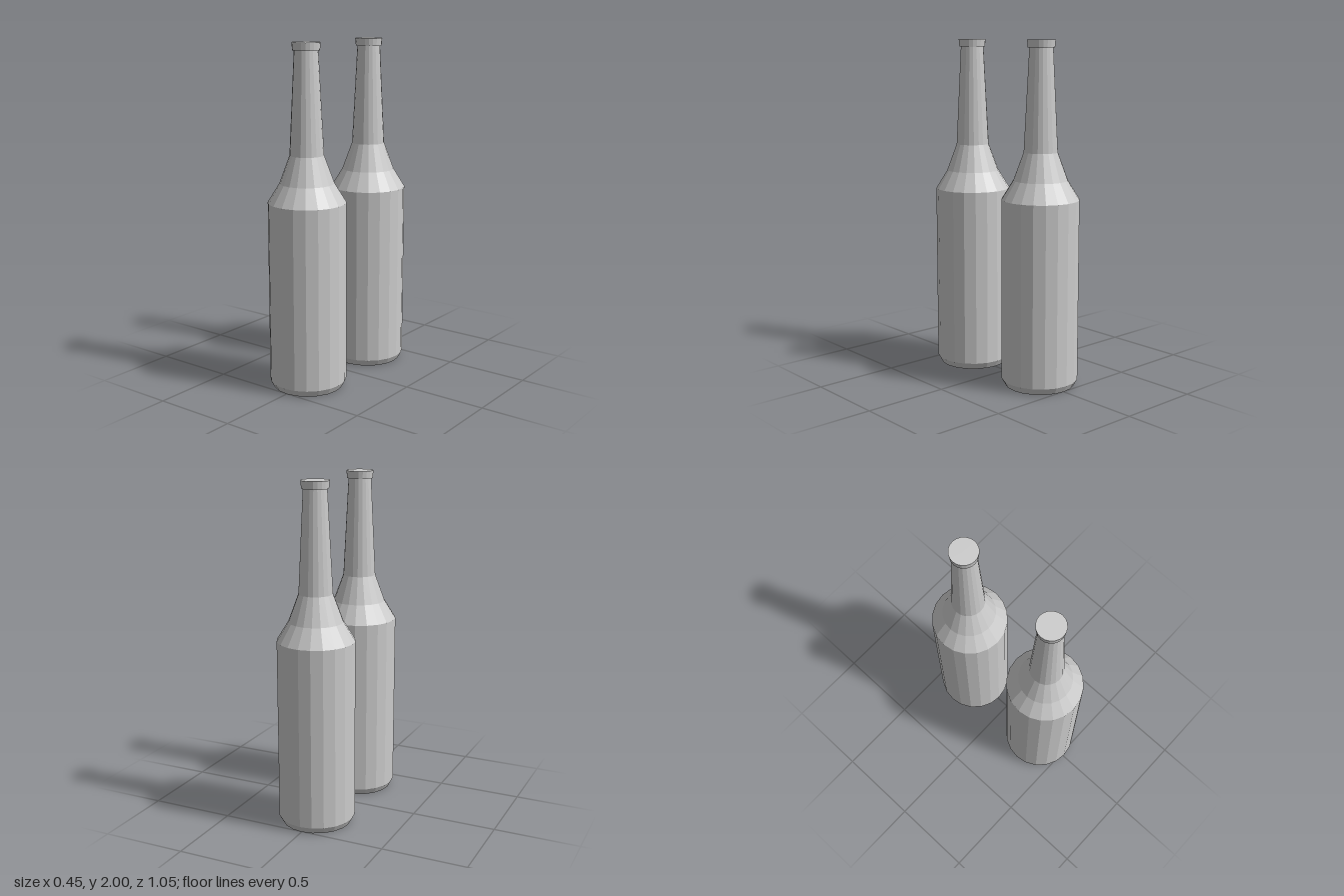
import * as THREE from 'three';

const SIDES = 20;
const material = new THREE.MeshStandardMaterial({ color: 0xcccccc, flatShading: true });

// Turns a [radius, height] profile, listed from bottom to top, into a faceted solid
function turned(name, profile) {
  const points = profile.map(([r, y]) => new THREE.Vector2(r, y));
  const mesh = new THREE.Mesh(new THREE.LatheGeometry(points, SIDES), material);
  mesh.name = name;
  return mesh;
}

function createBottle(name, z) {
  const bottle = new THREE.Group();
  bottle.name = name;
  bottle.position.z = z;
  bottle.add(
    // closed base with a small chamfer, straight wall
    turned('body', [[0, 0], [0.203, 0], [0.225, 0.04], [0.225, 1.1]]),
    // two-step shoulder
    turned('shoulder', [[0.225, 1.1], [0.157, 1.21], [0.098, 1.37]]),
    turned('neck', [[0.098, 1.37], [0.068, 1.955]]),
    // slightly flared, closed cap
    turned('cap', [[0.068, 1.955], [0.077, 1.955], [0.081, 2], [0, 2]])
  );
  return bottle;
}

export function createModel() {
  const model = new THREE.Group();
  model.name = 'bottles';
  model.add(createBottle('frontBottle', 0.3), createBottle('backBottle', -0.3));
  return model;
}
